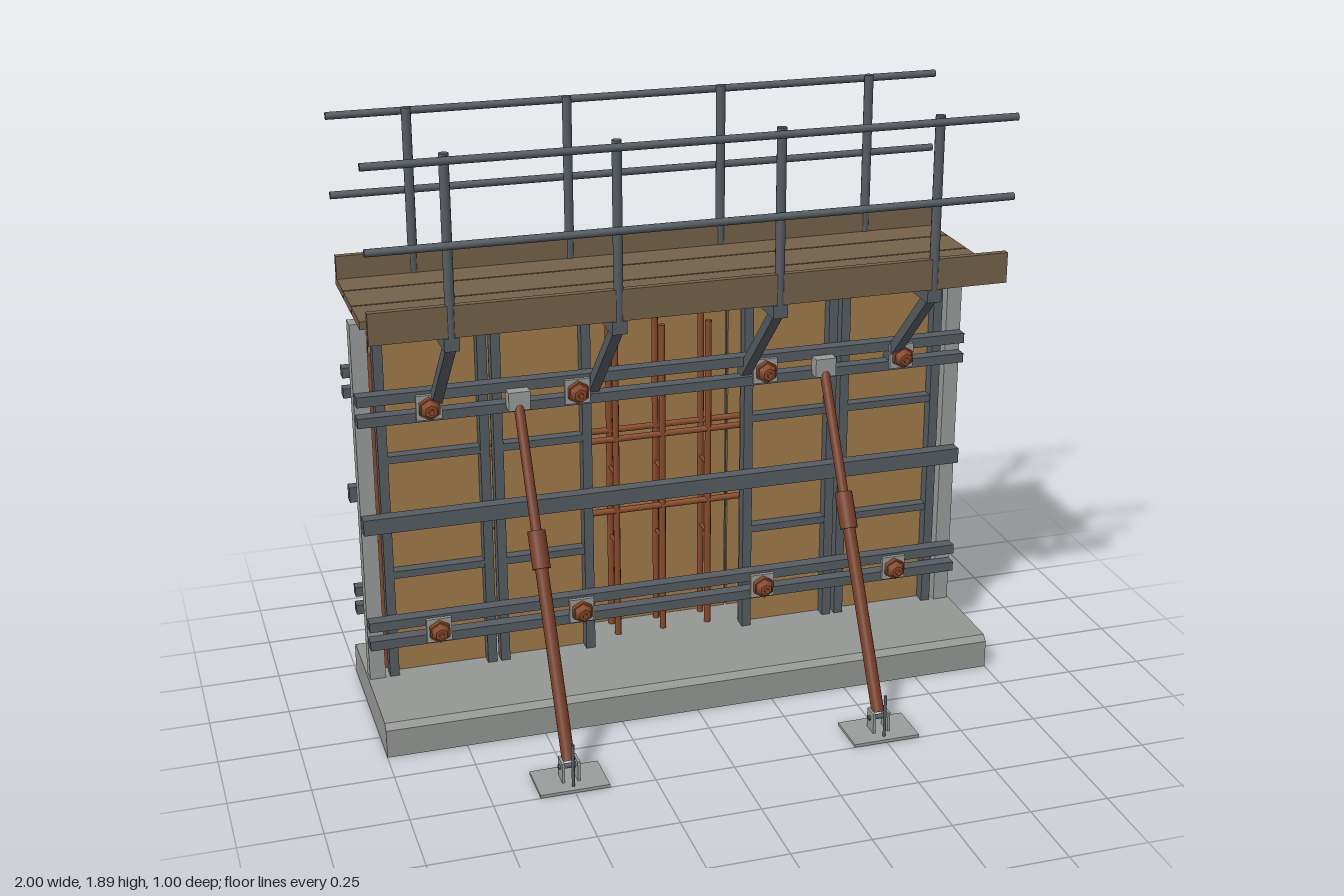
import * as THREE from 'three';

const paint = (name, color) => {
  const m = new THREE.MeshStandardMaterial({ color });
  m.name = name;
  return m;
};

export function createModel() {
  const steel = paint('dark steel', 0x555c62);
  const zinc = paint('galvanised steel', 0x9a9d9b);
  const concrete = paint('concrete', 0x959795);
  const plywood = paint('plywood', 0xa07b4b);
  const timber = paint('weathered timber', 0x75614a);
  const rust = paint('rusty bar', 0x884a2b);
  const strutRed = paint('oxide red tube', 0x743c26);

  const model = new THREE.Group();
  model.name = 'wallFormwork';

  const group = (name, parent = model) => {
    const g = new THREE.Group();
    g.name = name;
    parent.add(g);
    return g;
  };
  const add = (parent, name, geo, mat) => {
    const m = new THREE.Mesh(geo, mat);
    m.name = name;
    parent.add(m);
    return m;
  };
  // box given by its limits on each axis
  const box = (parent, name, mat, [x0, x1], [y0, y1], [z0, z1]) => {
    const m = add(parent, name, new THREE.BoxGeometry(Math.abs(x1 - x0), Math.abs(y1 - y0), Math.abs(z1 - z0)), mat);
    m.position.set((x0 + x1) / 2, (y0 + y1) / 2, (z0 + z1) / 2);
    return m;
  };
  // round bar from a to b
  const bar = (parent, name, mat, a, b, r, sides = 10, rEnd = r) => {
    const p = new THREE.Vector3(...a), q = new THREE.Vector3(...b);
    const m = add(parent, name, new THREE.CylinderGeometry(rEnd, r, p.distanceTo(q), sides), mat);
    m.position.copy(p).lerp(q, 0.5);
    m.quaternion.setFromUnitVectors(new THREE.Vector3(0, 1, 0), q.sub(p).normalize());
    return m;
  };

  // footing with chamfered top edges
  const section = new THREE.Shape([
    [0.13, 0], [0.13, 0.092], [0.112, 0.11], [-0.437, 0.11], [-0.455, 0.092], [-0.455, 0],
  ].map(([z, y]) => new THREE.Vector2(-z, y)));
  const footing = add(model, 'footing', new THREE.ExtrudeGeometry(section, { depth: 2, bevelEnabled: false }), concrete);
  footing.rotation.y = Math.PI / 2;
  footing.position.x = -1;

  // form panels: plywood sheet with a ribbed steel frame
  // inner = z of the wall face, outer = z of the frame's outside
  const panel = (parent, x0, x1, inner, outer) => {
    const g = group('formPanel', parent);
    const s = Math.sign(outer - inner);
    const face = inner + s * 0.012;
    box(g, 'plywoodSheet', plywood, [x0 + 0.002, x1 - 0.002], [0.105, 1.298], [inner, face]);
    for (const x of [x0, x1 - 0.03]) box(g, 'frameStile', steel, [x, x + 0.03], [0.105, 1.302], [face, outer]);
    for (const y of [1.29, 0.85, 0.46]) {
      box(g, 'frameRib', steel, [x0 + 0.03, x1 - 0.03], [y - 0.012, y + 0.012], [face, outer - s * 0.004]);
    }
  };
  const frontForm = group('frontForm'), backForm = group('backForm');
  for (const s of [-1, 1]) {
    for (const [a, b] of [[0.253, 0.568], [0.581, 0.93]]) {
      const [x0, x1] = s > 0 ? [a, b] : [-b, -a];
      panel(frontForm, x0, x1, -0.233, -0.182);
      panel(backForm, x0, x1, -0.355, -0.41);
    }
    box(frontForm, 'endPost', zinc, [s * 0.945, s * 0.995], [0.11, 1.302], [-0.18, -0.232]);
  }
  panel(backForm, -0.248, 0.248, -0.355, -0.41);

  // walers: paired channels at the ties and a single deep one between
  const walerLevels = [[1.05, 1.083], [0.983, 1.014], [0.627, 0.678], [0.294, 0.326], [0.23, 0.262]];
  for (const z of [[-0.14, -0.182], [-0.41, -0.447]]) {
    const g = group('walers');
    for (const y of walerLevels) box(g, 'waler', steel, [-0.993, 0.993], y, z);
  }

  // tie anchors: plate, hex nut and tapered cap at both ends of each tie rod
  const anchors = group('tieAnchors');
  for (const x of [-0.775, -0.31, 0.305, 0.77]) {
    for (const y of [1.032, 0.278]) {
      bar(anchors, 'tieRod', rust, [x, y, -0.08], [x, y, -0.505], 0.009, 8);
      for (const [z, s] of [[-0.14, 1], [-0.447, -1]]) {
        box(anchors, 'anchorPlate', zinc, [x - 0.04, x + 0.04], [y - 0.04, y + 0.04], [z, z + s * 0.012]);
        bar(anchors, 'anchorNut', rust, [x, y, z + s * 0.012], [x, y, z + s * 0.03], 0.036, 6);
        bar(anchors, 'anchorCap', rust, [x, y, z + s * 0.03], [x, y, z + s * 0.05], 0.031, 6, 0.02);
      }
    }
  }

  // reinforcement cage inside the wall
  const cage = group('reinforcement');
  for (let i = -6; i <= 6; i++) {
    const x = i * 0.155;
    for (const z of [-0.255, -0.335]) bar(cage, 'verticalBar', rust, [x, 0.1, z], [x, 1.177, z], 0.011, 8);
    for (const y of [0.94, 0.68, 0.435]) bar(cage, 'spacerBar', rust, [x, y, -0.255], [x, y, -0.335], 0.006, 6);
  }
  for (const z of [-0.255, -0.335]) {
    for (const y of [0.806, 0.556]) bar(cage, 'horizontalBar', rust, [-0.935, y, z], [0.935, y, z], 0.011, 8);
  }

  // platform brackets with diagonal braces
  const platform = group('platform');
  for (const x of [-0.75, -0.25, 0.25, 0.75]) {
    box(platform, 'bracketBeam', steel, [x - 0.023, x + 0.023], [1.305, 1.345], [0.153, -0.447]);
    const brace = box(platform, 'bracketBrace', steel, [x - 0.016, x + 0.016], [-0.215, 0.215], [-0.017, 0.017]);
    brace.position.set(x, 1.157, -0.037);
    brace.rotation.x = Math.PI / 4;
  }
  for (const z of [0, -0.152, -0.304]) {
    box(platform, 'plank', timber, [-0.99, 0.99], [1.345, 1.37], [z, z - 0.146]);
  }

  // guard rails: posts, two rails and a toe board on both sides
  for (const [z, s] of [[0.14, 1], [-0.432, -1]]) {
    const g = group('guardRail');
    for (const x of [-0.75, -0.25, 0.25, 0.75]) bar(g, 'guardPost', steel, [x, 1.345, z], [x, 1.888, z], 0.015, 12);
    for (const y of [1.872, 1.626]) {
      bar(g, 'rail', steel, [-0.99, y, z + s * 0.026], [0.99, y, z + s * 0.026], 0.012, 12);
    }
    box(g, 'toeBoard', timber, [-0.99, 0.99], [1.346, 1.443], [z - 0.011, z + 0.011]);
  }

  // push-pull props with base plate, clevis, sleeve and head
  for (const x of [-0.5, 0.5]) {
    const g = group('prop');
    g.position.x = x;
    const at = (t) => [0, 0.045 + t * 0.975, 0.43 - t * 0.55];
    bar(g, 'lowerTube', strutRed, at(0.02), at(0.55), 0.02, 14);
    bar(g, 'upperTube', strutRed, at(0.55), at(1), 0.016, 14);
    bar(g, 'sleeve', strutRed, at(0.54), at(0.645), 0.028, 14);
    box(g, 'headBracket', zinc, [-0.034, 0.034], [1.0, 1.06], [-0.102, -0.145]);
    box(g, 'basePlate', zinc, [-0.107, 0.107], [0, 0.01], [0.355, 0.5]);
    for (const s of [-1, 1]) {
      box(g, 'clevisPlate', zinc, [s * 0.02, s * 0.028], [0.01, 0.075], [0.4, 0.452]);
    }
    bar(g, 'clevisPin', steel, [-0.034, 0.052, 0.425], [0.034, 0.052, 0.425], 0.008, 10);
    bar(g, 'groundSpike', steel, [0, 0.01, 0.475], [0, 0.15, 0.475], 0.005, 8);
  }

  return model;
}
